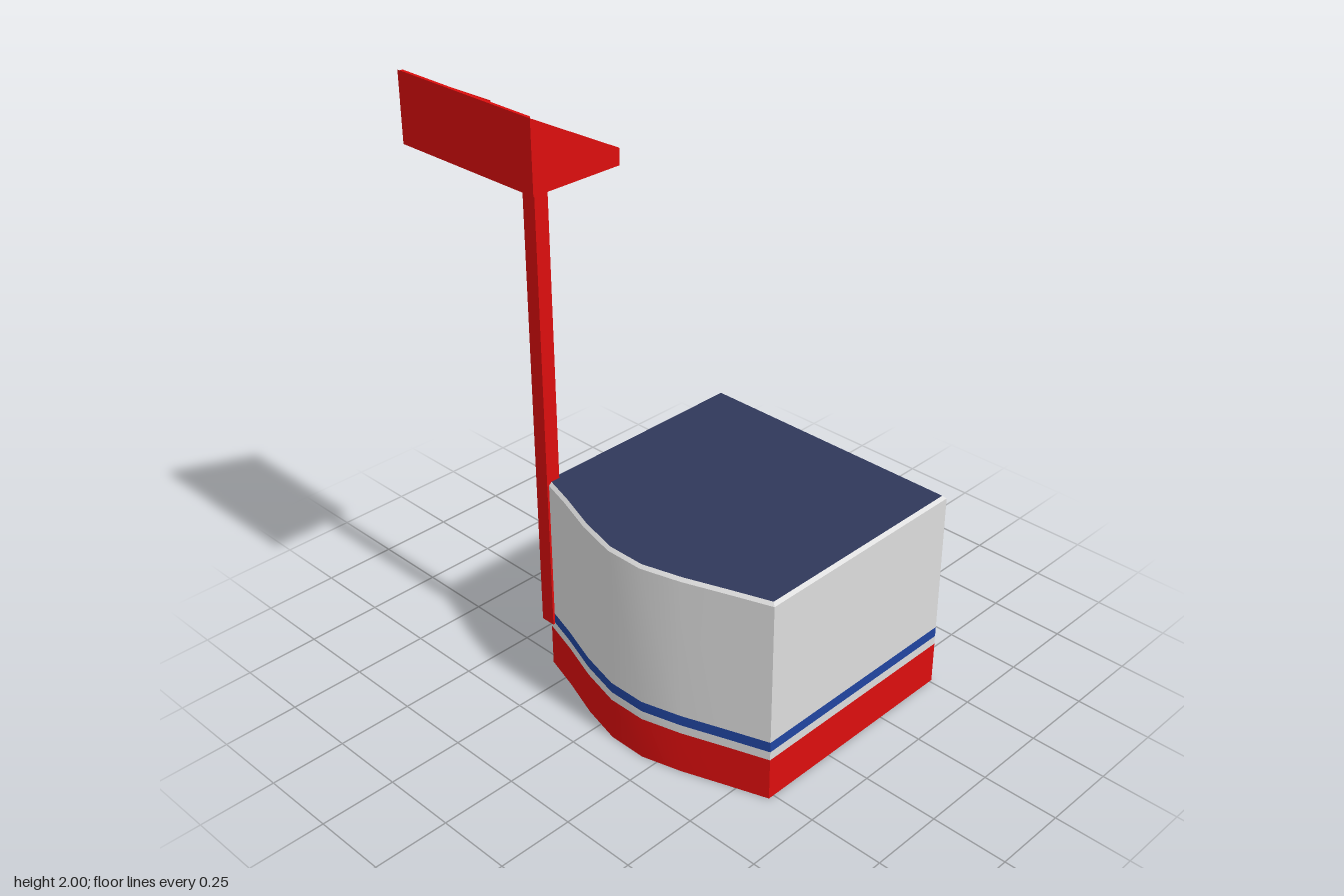
import * as THREE from 'three';
import { toCreasedNormals } from 'three/addons/utils/BufferGeometryUtils.js';

export function createModel() {
  const material = (name, color) => new THREE.MeshStandardMaterial({ name, color });
  const red = material('red', 0xdc0e0e);
  const white = material('lightGrey', 0xdcdcdc);
  const blue = material('stripeBlue', 0x2145a0);
  const navy = material('roofNavy', 0x30385a);

  const model = new THREE.Group();
  model.name = 'kioskWithSign';
  const add = (parent, name, geometry, mat) => {
    const mesh = new THREE.Mesh(geometry, mat);
    mesh.name = name;
    parent.add(mesh);
    return mesh;
  };

  // Footprint (x, z): straight back and sides, bowed front
  const footprint = new THREE.Shape([
    [-0.34, -0.51], [-0.34, 0.275], [-0.21, 0.315], [-0.07, 0.365], [0.07, 0.4],
    [0.2, 0.4], [0.33, 0.365], [0.47, 0.315], [0.6, 0.27], [0.6, -0.51],
  ].map(([x, z]) => new THREE.Vector2(x, -z)));

  // Horizontal slab of the footprint, optionally chamfered
  const slab = (y0, y1, chamfer = 0) => {
    const geometry = new THREE.ExtrudeGeometry(footprint, {
      depth: y1 - y0 - 2 * chamfer,
      bevelEnabled: chamfer > 0,
      bevelSize: chamfer,
      bevelOffset: -chamfer,
      bevelThickness: chamfer,
      bevelSegments: 1,
    });
    geometry.rotateX(-Math.PI / 2).translate(0, y0 + chamfer, 0);
    return toCreasedNormals(geometry, Math.PI / 6);
  };

  // Body: red base, two stripes, and the wall with its roof
  const body = new THREE.Group();
  body.name = 'body';
  model.add(body);
  add(body, 'base', slab(0, 0.145), [white, red]);
  add(body, 'lightStripe', slab(0.145, 0.175), white);
  add(body, 'blueStripe', slab(0.175, 0.21), blue);
  // The lower chamfer sits hidden inside the blue stripe
  add(body, 'wallAndRoof', slab(0.2, 0.7, 0.01), [navy, white]);

  // Pole at the front corner
  add(model, 'pole', new THREE.BoxGeometry(0.05, 1.62, 0.05), red)
    .position.set(-0.34, 0.98, 0.265);

  // Tray on top: floor, tall front wall and two sloping sides, open at the back
  const tray = new THREE.Group();
  tray.name = 'tray';
  tray.position.set(-0.3325, 1.785, 0);
  model.add(tray);
  const width = 0.545, t = 0.01;
  add(tray, 'trayFloor', new THREE.BoxGeometry(width - 2 * t, t, 0.3), red)
    .position.set(0, t / 2, 0.35);
  add(tray, 'trayFront', new THREE.BoxGeometry(width - 2 * t, 0.215, t), red)
    .position.set(0, 0.1075, 0.505);
  const sideShape = new THREE.Shape([
    [-0.2, 0], [-0.2, 0.05], [-0.51, 0.215], [-0.51, 0],
  ].map(([x, y]) => new THREE.Vector2(x, y)));
  for (const [name, x] of [['traySideLeft', width / 2 - t], ['traySideRight', -width / 2]]) {
    const side = new THREE.ExtrudeGeometry(sideShape, { depth: t, bevelEnabled: false });
    side.rotateY(Math.PI / 2);
    add(tray, name, side, red).position.x = x;
  }

  return model;
}
